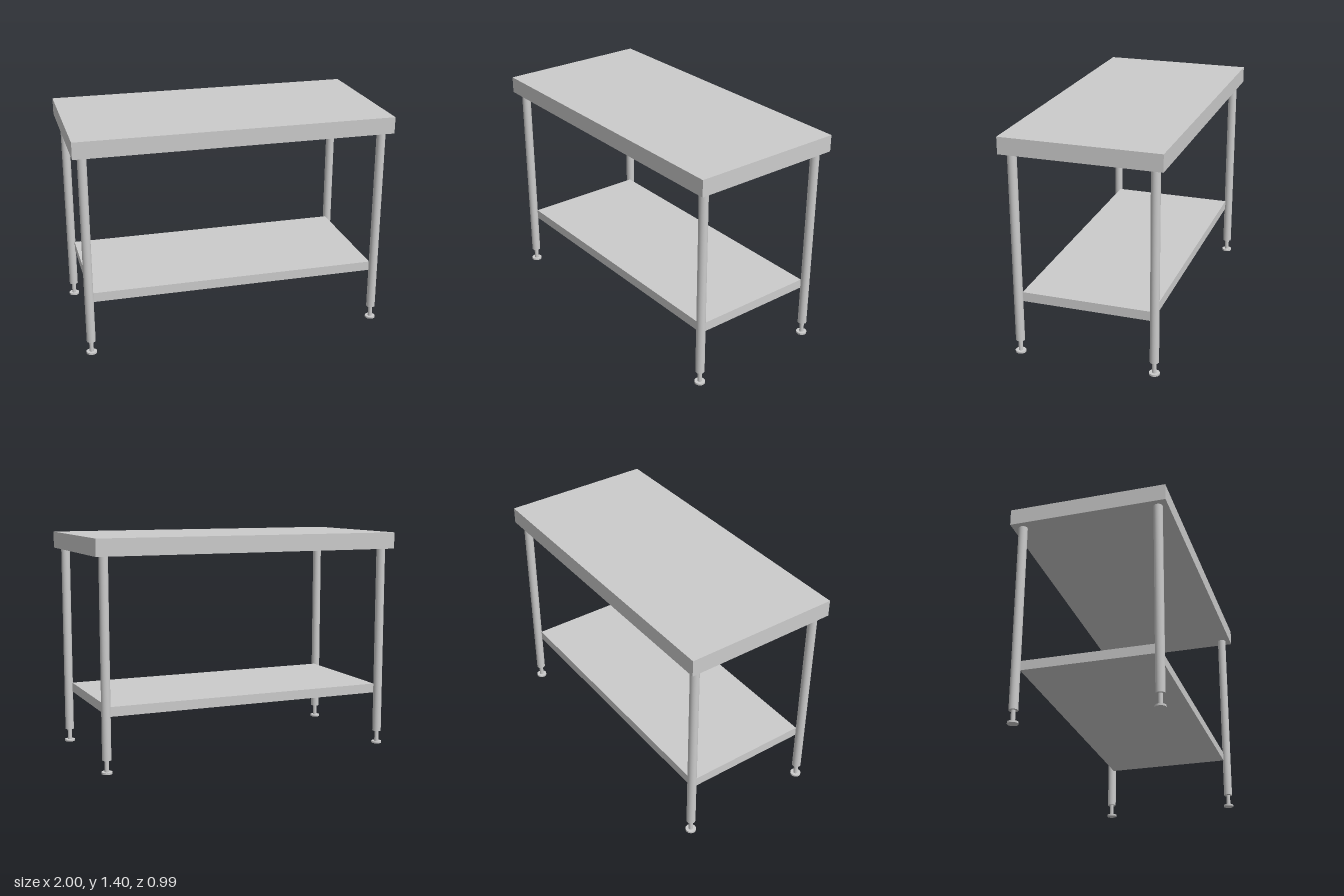
import * as THREE from 'three';

export function createModel() {
  const group = new THREE.Group();
  const material = new THREE.MeshStandardMaterial({ color: 0xcccccc });

  const add = (parent, name, geometry, x, y, z) => {
    const mesh = new THREE.Mesh(geometry, material);
    mesh.name = name;
    mesh.position.set(x, y, z);
    parent.add(mesh);
  };
  // Slab and upright cylinder given by their lower and upper heights
  const slab = (name, w, d, y0, y1) =>
    add(group, name, new THREE.BoxGeometry(w, y1 - y0, d), 0, (y0 + y1) / 2, 0);
  const post = (parent, name, r, y0, y1) =>
    add(parent, name, new THREE.CylinderGeometry(r, r, y1 - y0, 32), 0, (y0 + y1) / 2, 0);

  // Worktop, and shelf whose corners touch the legs
  slab('tabletop', 2, 0.985, 1.3, 1.405);
  slab('lowerShelf', 1.836, 0.824, 0.34, 0.4);

  // Four round legs on adjustable feet
  for (const [sx, xName] of [[1, 'Left'], [-1, 'Right']]) {
    for (const [sz, zName] of [[1, 'front'], [-1, 'back']]) {
      const leg = new THREE.Group();
      leg.name = `${zName}${xName}Leg`;
      leg.position.set(sx * 0.938, 0, sz * 0.431);
      post(leg, 'legTube', 0.028, 0.083, 1.3);
      post(leg, 'footStem', 0.0135, 0.01, 0.083);
      post(leg, 'footPad', 0.033, 0, 0.012);
      group.add(leg);
    }
  }
  return group;
}
